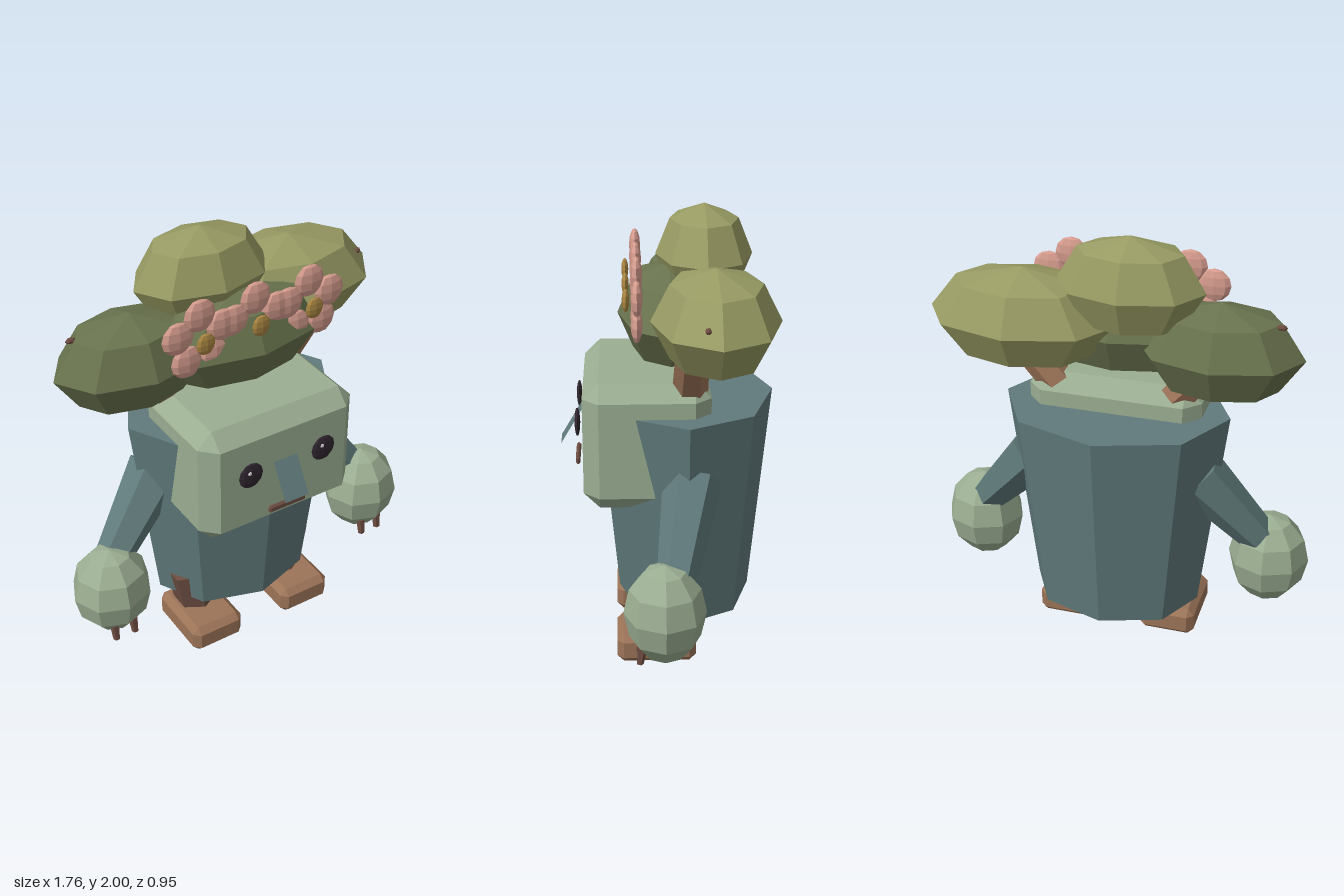
import * as THREE from 'three';
import { ConvexGeometry } from 'three/addons/geometries/ConvexGeometry.js';

const paint = (name, color, side = THREE.FrontSide) =>
  Object.assign(new THREE.MeshStandardMaterial({ color, flatShading: true, side }), { name });

export function createModel() {
  const skin = paint('sage skin', 0x9bae92);
  const cloth = paint('slate teal', 0x607a7b, THREE.DoubleSide);
  const wood = paint('light wood', 0x9c7458);
  const bark = paint('dark bark', 0x6d4d41);
  const darkLeaf = paint('dark leaf', 0x69734e);
  const lightLeaf = paint('light leaf', 0x989b63);
  const pink = paint('petal pink', 0xd69c8e);
  const gold = paint('pollen gold', 0xaa8642);
  const black = paint('eye black', 0x30262f);
  const white = paint('eye glint', 0xd8d8d8);

  const model = new THREE.Group();
  model.name = 'treeCreature';

  const add = (name, geometry, material, pos = [0, 0, 0], parent = model) => {
    const mesh = new THREE.Mesh(geometry, material);
    mesh.name = name;
    mesh.position.set(...pos);
    parent.add(mesh);
    return mesh;
  };

  // Low-poly ellipsoid
  const blob = (name, material, pos, radii, w = 8, h = 6, parent = model) =>
    add(name, new THREE.SphereGeometry(1, w, h).scale(...radii), material, pos, parent);

  // Box with one flat chamfer on every edge
  const chamferBox = (w, h, d, c) => {
    const points = [];
    for (const x of [-1, 1]) for (const y of [-1, 1]) for (const z of [-1, 1]) {
      const X = x * w / 2, Y = y * h / 2, Z = z * d / 2;
      points.push(
        new THREE.Vector3(X, Y - y * c, Z - z * c),
        new THREE.Vector3(X - x * c, Y, Z - z * c),
        new THREE.Vector3(X - x * c, Y - y * c, Z));
    }
    return new ConvexGeometry(points);
  };

  // Tapered limb from a to b
  const limb = (name, material, a, b, ra, rb, sides, turn = 0) => {
    const start = new THREE.Vector3(...a), end = new THREE.Vector3(...b);
    const dir = end.clone().sub(start);
    const geometry = new THREE.CylinderGeometry(rb, ra, dir.length(), sides).rotateY(turn);
    const mesh = add(name, geometry, material, start.clone().lerp(end, 0.5).toArray());
    mesh.quaternion.setFromUnitVectors(new THREE.Vector3(0, 1, 0), dir.normalize());
    return mesh;
  };

  // Body: flared octagonal tub
  add('body', new THREE.CylinderGeometry(0.51, 0.39, 0.97, 8).scale(1, 1, 0.77), cloth, [0, 0.695, -0.08]);

  // Head and face
  add('head', chamferBox(0.78, 0.57, 0.55, 0.07), skin, [0, 1.035, 0.095]);
  add('mouth', chamferBox(0.19, 0.036, 0.02, 0.008), bark, [0, 0.878, 0.4]);
  const nose = new THREE.PlaneGeometry(0.12, 0.186);
  nose.rotateX(-Math.atan2(0.095, 0.16));
  add('nose', nose, cloth, [0, 1.03, 0.427]);
  for (const s of [-1, 1]) {
    const side = s > 0 ? 'left' : 'right';
    blob(side + 'Eye', black, [s * 0.185, 1.1, 0.395], [0.06, 0.063, 0.013]);
    blob(side + 'EyeGlint', white, [s * 0.185 - 0.012, 1.12, 0.406], [0.01, 0.01, 0.005], 6, 4);

    // Arm, hand and claws
    limb(side + 'Arm', cloth, [s * 0.37, 0.9, -0.1], [s * 0.65, 0.57, -0.02], 0.13, 0.085, 6, Math.PI / 2);
    blob(side + 'Hand', skin, [s * 0.695, 0.438, 0.03], [0.185, 0.218, 0.175]);
    for (const x of [0.645, 0.74])
      limb(side + 'Claw', bark, [s * x, 0.3, 0.125], [s * x, 0.222, 0.138], 0.022, 0.016, 5);

    // Leg and boot
    limb(side + 'Leg', bark, [s * 0.24, 0.1, 0], [s * 0.283, 0.34, 0], 0.1, 0.1, 6);
    add(side + 'Boot', chamferBox(0.265, 0.137, 0.355, 0.03), wood, [s * 0.247, 0.0685, 0.057]);

    // Branch from the head up to the canopy
    limb(side + 'Branch', wood, [s * 0.25, 1.24, -0.09], [s * 0.48, 1.5, -0.09], 0.078, 0.07, 6);
  }

  // Canopy clumps
  blob('rightCanopy', darkLeaf, [-0.46, 1.51, -0.11], [0.36, 0.22, 0.235], 8, 4);
  blob('frontCanopy', darkLeaf, [0, 1.54, -0.01], [0.43, 0.22, 0.225], 8, 4);
  blob('leftCanopy', lightLeaf, [0.38, 1.605, -0.19], [0.42, 0.22, 0.272], 8, 4);
  blob('topCanopy', lightLeaf, [-0.083, 1.78, -0.165], [0.322, 0.22, 0.212], 8, 4);

  // Small buds at the canopy ends
  blob('rightBud', bark, [-0.715, 1.662, -0.14], [0.025, 0.013, 0.014], 6, 4);
  blob('leftBud', bark, [0.725, 1.665, -0.135], [0.016, 0.014, 0.014], 6, 4);

  // Flower garland
  for (const x of [-0.267, 0, 0.267]) {
    const flower = new THREE.Group();
    flower.name = 'flower';
    flower.position.set(x, 1.665, 0.135);
    model.add(flower);
    for (let i = 0; i < 5; i++) {
      const a = Math.PI / 2 + i * Math.PI * 2 / 5;
      blob('petal', pink, [Math.cos(a) * 0.11, Math.sin(a) * 0.11, 0], [0.075, 0.075, 0.025], 8, 6, flower);
    }
    blob('flowerCentre', gold, [0, 0, 0.045], [0.045, 0.05, 0.016], 8, 6, flower);
  }

  return model;
}
